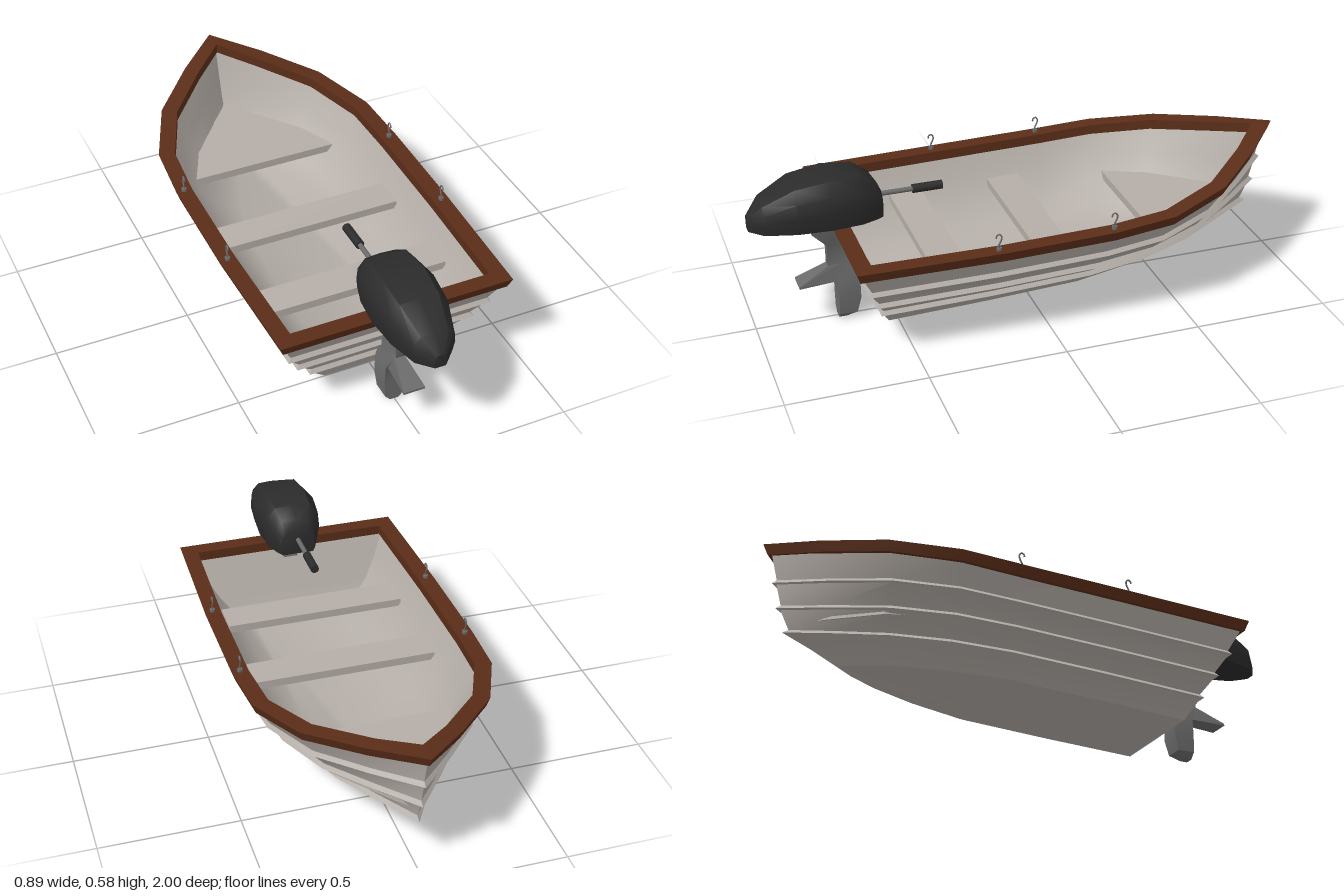
import * as THREE from 'three';
import { toCreasedNormals } from 'three/addons/utils/BufferGeometryUtils.js';
import { ConvexGeometry } from 'three/addons/geometries/ConvexGeometry.js';

const { lerp } = THREE.MathUtils;
const paint = (color) => new THREE.MeshStandardMaterial({ color });
const hullPaint = paint(0xb5aea8), wood = paint(0x5a2d18), black = paint(0x2b2b2b), metal = paint(0x6a6a6a);

// Skin over a list of closed rings, with optional end caps
function loft(rings, caps, crease) {
  const n = rings[0].length, pos = [], index = [];
  rings.forEach((ring) => ring.forEach((p) => pos.push(...p)));
  for (let r = 0; r < rings.length - 1; r++) {
    for (let i = 0; i < n; i++) {
      const a = r * n + i, b = r * n + (i + 1) % n;
      index.push(a, b, b + n, a, b + n, a + n);
    }
  }
  if (caps) {
    const last = (rings.length - 1) * n;
    for (let i = 1; i < n - 1; i++) index.push(0, i + 1, i, last, last + i, last + i + 1);
  }
  const geometry = new THREE.BufferGeometry();
  geometry.setAttribute('position', new THREE.Float32BufferAttribute(pos, 3));
  geometry.setIndex(index);
  return toCreasedNormals(geometry, crease);
}

// Hull stations from stern to bow: [half width, y, z] at the top edge and at the bottom
const topEdge = [[0.405, 0.365, 0.69], [0.42, 0.367, 0.2], [0.42, 0.375, -0.2], [0.405, 0.39, -0.42],
  [0.31, 0.42, -0.645], [0.145, 0.455, -0.83], [0, 0.485, -0.965]];
const bottomEdge = [[0.2, 0.065, 0.56], [0.205, 0.078, 0.2], [0.2, 0.09, -0.15], [0.16, 0.098, -0.36],
  [0.105, 0.104, -0.53], [0.05, 0.108, -0.64], [0, 0.11, -0.71]];

// Plank edges: share of the width, share of the height, share of the bow's rake
const planks = [[0, 0, 0], [0.32, 0.25, 0.7], [0.61, 0.48, 0.83], [0.83, 0.73, 0.91], [1, 1, 1]];

// Ring round the whole boat at a plank edge, moved out by 'out' and up by 'up'
function hullRing(level, out = 0, up = 0) {
  const [w, h, rake] = planks[level];
  const half = topEdge.map((t, i) => {
    const b = bottomEdge[i], s = (i / 6) ** 2;
    return [lerp(b[0], t[0], w), lerp(b[1], t[1], h) + up, lerp(b[2], t[2], lerp(h, rake, s))];
  });
  const ring = [...half, ...half.slice(0, -1).reverse().map(([x, y, z]) => [-x, y, z])];
  const normal = (p, q) => {
    const dx = q[0] - p[0], dz = q[2] - p[2], l = Math.hypot(dx, dz);
    return [-dz / l, dx / l];
  };
  return ring.map((p, i) => {
    const m = normal(ring.at(i - 1), p), k = normal(p, ring[(i + 1) % ring.length]);
    const f = out / (1 + m[0] * k[0] + m[1] * k[1]);
    return [p[0] + f * (m[0] + k[0]), p[1], p[2] + f * (m[1] + k[1])];
  });
}

export function createModel() {
  const boat = new THREE.Group();
  boat.name = 'motorBoat';
  const add = (name, geometry, material, parent = boat) => {
    const mesh = new THREE.Mesh(geometry, material);
    mesh.name = name;
    parent.add(mesh);
    return mesh;
  };

  // Hull: planked outside with raised laps, then the smooth inside down to the floor
  const skin = [hullRing(0)];
  for (const level of [1, 2, 3]) {
    skin.push(hullRing(level, 0, -0.009), hullRing(level, 0.011, -0.006), hullRing(level, 0, 0.008));
  }
  skin.push(hullRing(4), hullRing(4, -0.025));
  for (const level of [3, 2, 1]) skin.push(hullRing(level, -0.025));
  skin.push(hullRing(0, -0.025, 0.03));
  add('hull', loft(skin, true, 0.65), hullPaint);

  // Wooden gunwale round the top edge
  const gunwale = [[0.012, -0.002], [0.025, 0.035], [-0.035, 0.035], [-0.035, -0.002], [0.012, -0.002]];
  add('gunwale', loft(gunwale.map(([out, up]) => hullRing(4, out, up)), false, 0.6), wood);

  // Bench seats and bow deck
  for (const [name, z] of [['middleSeat', -0.04], ['rearSeat', 0.348]]) {
    add(name, new THREE.BoxGeometry(0.68, 0.03, 0.125), hullPaint).position.set(0, 0.265, z);
  }
  const deck = new THREE.Shape();
  [[0.285, 0.43], [0.215, 0.62], [0.09, 0.78], [0, 0.89], [-0.09, 0.78], [-0.215, 0.62], [-0.285, 0.43]]
    .forEach(([x, y], i) => (i ? deck.lineTo(x, y) : deck.moveTo(x, y)));
  const deckGeometry = new THREE.ExtrudeGeometry(deck, { depth: 0.03, bevelEnabled: false });
  add('bowDeck', deckGeometry.rotateX(-Math.PI / 2).translate(0, 0.235, 0), hullPaint);

  // Hooked oarlocks on both sides
  const hook = new THREE.CatmullRomCurve3([[0, 0], [0, 0.022], [-0.006, 0.034], [-0.01, 0.05], [-0.002, 0.062],
    [0.008, 0.058], [0.01, 0.048]].map(([z, y]) => new THREE.Vector3(0, y, z)));
  for (const side of [-1, 1]) {
    for (const [z, y] of [[0.22, 0.4], [-0.2, 0.409]]) {
      const oarlock = new THREE.Group();
      oarlock.name = 'oarlock';
      oarlock.position.set(side * 0.415, y, z);
      add('hook', new THREE.TubeGeometry(hook, 16, 0.003, 6), metal, oarlock);
      add('base', new THREE.CylinderGeometry(0.01, 0.01, 0.012, 8), metal, oarlock).position.y = 0.006;
      boat.add(oarlock);
    }
  }

  // Outboard motor
  const motor = new THREE.Group();
  motor.name = 'outboardMotor';
  boat.add(motor);

  // Cowling: cross-sections [z, half width, top]
  const outline = [[0.88, 0], [1, 0.38], [0.95, 0.72], [0.64, 0.97]];
  const cowl = [[0.53, 0.068, 0.5], [0.555, 0.085, 0.54], [0.61, 0.108, 0.577], [0.72, 0.12, 0.585],
    [0.84, 0.11, 0.567], [0.95, 0.077, 0.51], [1, 0.022, 0.455]].map(([z, w, top]) => {
    const at = (sign) => ([x, y]) => [sign * x * w, lerp(0.405, top, y), z];
    return [...outline.map(at(1)), [0, top, z], ...[...outline].reverse().map(at(-1))];
  });
  add('cowling', loft(cowl, true, 0.7), black, motor);

  // Tiller
  const rod = (r, length) => new THREE.CylinderGeometry(r, r, length, 12).rotateX(Math.PI / 2);
  add('tillerRod', rod(0.009, 0.16), metal, motor).position.set(0, 0.465, 0.475);
  add('tillerGrip', rod(0.016, 0.11), black, motor).position.set(0, 0.465, 0.352);

  // Leg: cross-sections [y, front z, rear z, half width]
  const leg = [[0, 0.67, 0.7, 0.016], [0.022, 0.635, 0.7, 0.036], [0.08, 0.62, 0.7, 0.04], [0.155, 0.62, 0.7, 0.038],
    [0.22, 0.62, 0.73, 0.017], [0.3, 0.64, 0.73, 0.017], [0.365, 0.66, 0.785, 0.042], [0.407, 0.66, 0.79, 0.042]];
  add('leg', loft(leg.map(([y, f, r, w]) => [[w, y, r], [w, y, f], [-w, y, f], [-w, y, r]]), true, 0.5), metal, motor);

  // Tail fin behind the leg
  const fin = [];
  for (const s of [-1, 1]) {
    for (const [x, y, z] of [[0.017, 0.22, 0.725], [0.04, 0.162, 0.84], [0.04, 0.154, 0.84], [0.03, 0.158, 0.69],
      [0.017, 0.22, 0.69]]) fin.push(new THREE.Vector3(s * x, y, z));
  }
  add('tailFin', new ConvexGeometry(fin), metal, motor);

  return boat;
}
